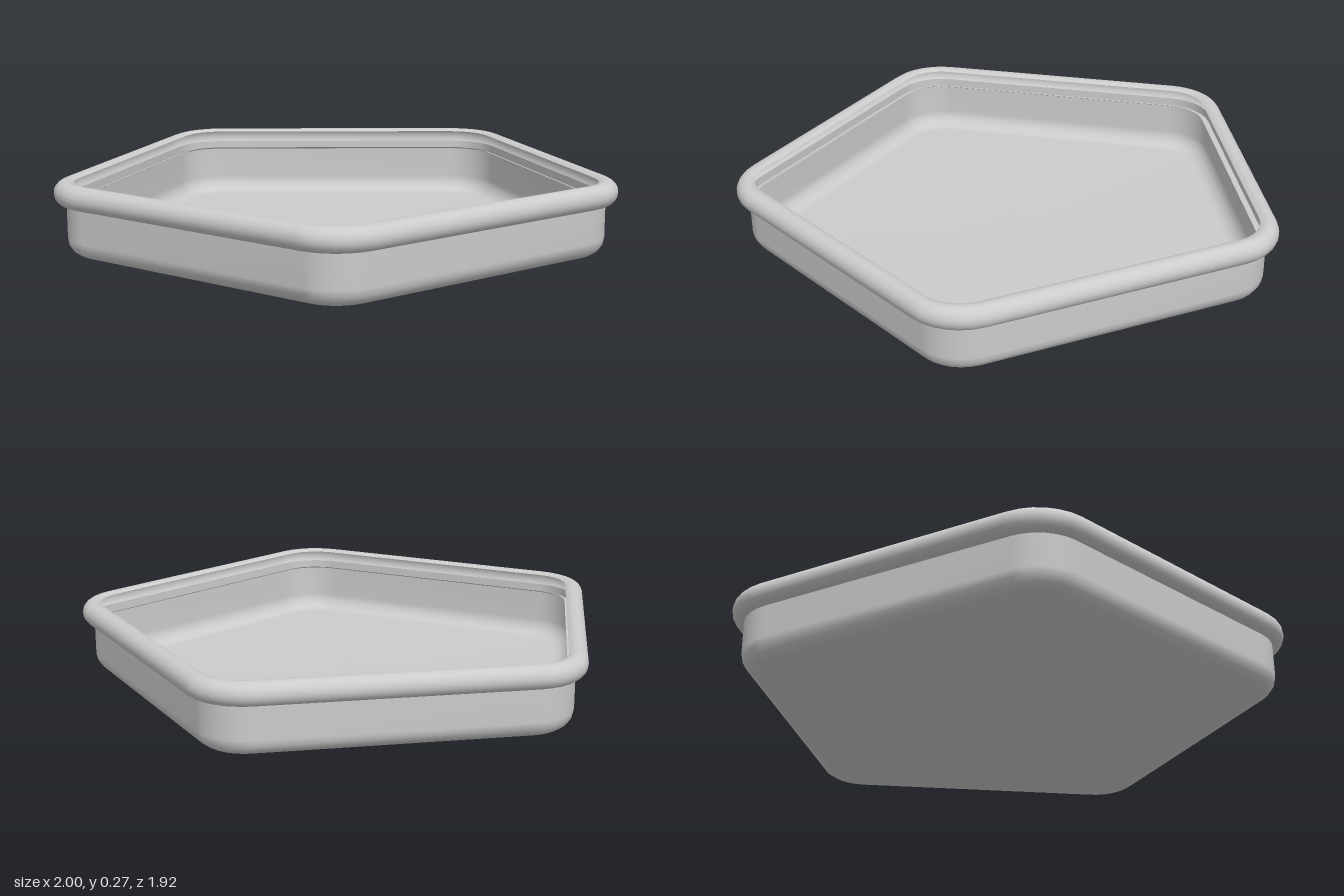
import * as THREE from 'three';

const CORE = 0.817;      // circumradius of the pentagon through the corner centres
const SHIFT_Z = 0.078;   // centres the tray in depth
const CORNER_STEPS = 6;
const WALL = 0.18;       // corner radius of the wall
const FILLET = 0.063;    // bend between floor and wall
const BEAD = 0.043;      // radius of the rolled rim
const BEAD_Y = 0.226;

// Rounded pentagon at a given corner radius and height, point towards the back
function ring(radius, y) {
  const points = [];
  for (let k = 0; k < 5; k++) {
    const a = -Math.PI / 2 + (k * 2 * Math.PI) / 5;
    for (let s = 0; s <= CORNER_STEPS; s++) {
      const b = a + (s / CORNER_STEPS - 0.5) * (2 * Math.PI / 5);
      points.push([
        CORE * Math.cos(a) + radius * Math.cos(b),
        y,
        CORE * Math.sin(a) + radius * Math.sin(b) + SHIFT_Z,
      ]);
    }
  }
  return points;
}

// Sweeps a profile of [corner radius, height] round the pentagon
function sweep(name, profile, material, closeFloor) {
  const rings = profile.map(([r, y]) => ring(r, y));
  const n = rings[0].length;
  const positions = rings.flat(2);
  const index = [];
  for (let i = 0; i < rings.length - 1; i++) {
    for (let j = 0; j < n; j++) {
      const p = i * n + j, q = i * n + (j + 1) % n;
      index.push(p, p + n, q, q, p + n, q + n);
    }
  }
  if (closeFloor) {
    const centre = positions.length / 3;
    positions.push(0, profile[0][1], SHIFT_Z);
    for (let j = 0; j < n; j++) index.push(centre, j, (j + 1) % n);
  }
  const geometry = new THREE.BufferGeometry();
  geometry.setAttribute('position', new THREE.Float32BufferAttribute(positions, 3));
  geometry.setIndex(index);
  geometry.computeVertexNormals();
  const mesh = new THREE.Mesh(geometry, material);
  mesh.name = name;
  return mesh;
}

export function createModel() {
  const group = new THREE.Group();
  group.name = 'pentagonTray';
  const material = new THREE.MeshStandardMaterial({ color: 0xcccccc, side: THREE.DoubleSide });

  // Floor, rounded bend and upright wall in one thin sheet
  const pan = [];
  for (let i = 0; i <= 4; i++) {
    const t = (i / 4) * Math.PI / 2;
    pan.push([WALL - FILLET + FILLET * Math.sin(t), FILLET - FILLET * Math.cos(t)]);
  }
  pan.push([WALL, 0.215]);
  group.add(sweep('pan', pan, material, true));

  // Rolled rim, open towards the inside
  const rim = [];
  const open = THREE.MathUtils.degToRad(127);
  for (let i = 0; i <= 16; i++) {
    const t = -open + (i / 16) * 2 * open;
    rim.push([WALL + BEAD * Math.cos(t), BEAD_Y + BEAD * Math.sin(t)]);
  }
  group.add(sweep('rolledRim', rim, material, false));

  return group;
}
